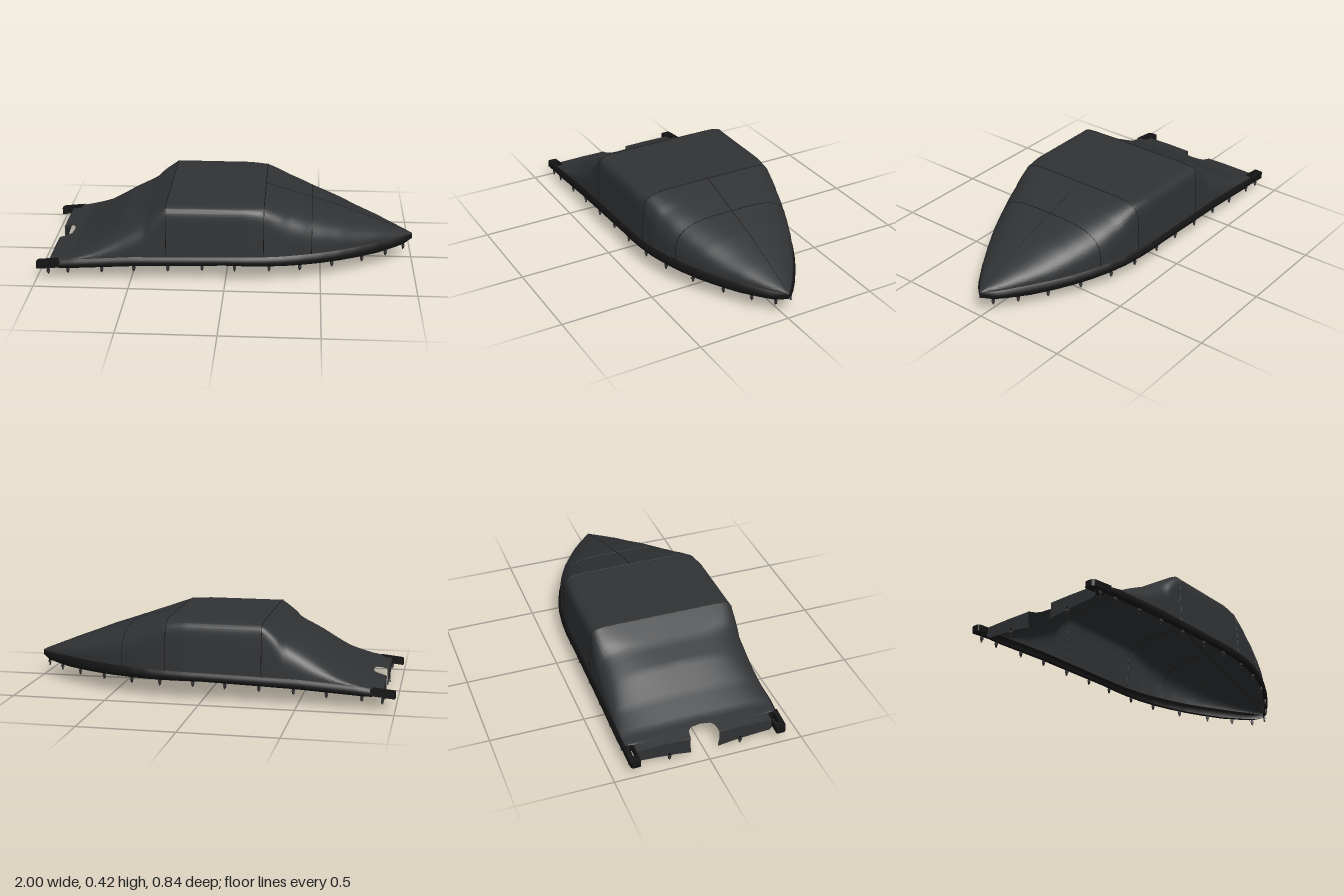
import * as THREE from 'three';
import { toCreasedNormals } from 'three/addons/utils/BufferGeometryUtils.js';

// Piecewise-linear lookup through [x, value] keys
const lerpKeys = keys => x => {
  if (x <= keys[0][0]) return keys[0][1];
  for (let i = 1; i < keys.length; i++) {
    const [x0, a] = keys[i - 1], [x1, b] = keys[i];
    if (x <= x1) return a + (b - a) * (x - x0) / (x1 - x0);
  }
  return keys[keys.length - 1][1];
};
// Half width, ridge height, band top, band bottom and section squareness along x
const halfWidth = lerpKeys([[-0.93, 0.36], [-0.885, 0.36], [-0.88, 0.402], [-0.8, 0.407], [0.1, 0.4], [0.2, 0.393],
  [0.3, 0.379], [0.4, 0.354], [0.5, 0.319], [0.6, 0.275], [0.7, 0.221], [0.8, 0.158], [0.9, 0.086], [0.96, 0.036], [1, 0]]);
const ridge = lerpKeys([[-0.93, 0.1], [-0.82, 0.125], [-0.7, 0.19], [-0.56, 0.285], [-0.45, 0.332],
  [-0.31, 0.415], [0.2, 0.415], [0.35, 0.372], [0.6, 0.295], [0.8, 0.222], [1, 0.142]]);
const bandTop = lerpKeys([[-0.93, 0.095], [-0.8, 0.115], [-0.5, 0.135], [0, 0.145], [0.4, 0.15], [0.8, 0.146], [1, 0.136]]);
const bandBottom = lerpKeys([[-1, 0.058], [-0.8, 0.068], [-0.5, 0.085], [0, 0.1], [0.4, 0.095], [0.8, 0.088], [0.95, 0.095], [1, 0.112]]);
const square = lerpKeys([[-0.93, 2.5], [-0.7, 2.6], [-0.56, 3], [-0.42, 4.5], [-0.31, 13], [0.1, 13], [0.2, 9], [0.32, 5], [0.45, 3.6], [0.7, 2.5], [1, 2.2]]);
// Engine notch half width
const notch = x => x > -0.86 ? 0 : 0.075 * Math.pow(1 - Math.pow((x + 0.93) / 0.07, 3), 1 / 3);

const stations = [-0.885, -0.88, -0.31];
for (let i = 0; i <= 10; i++) stations.push(-0.93 + 0.007 * i);
for (let x = -0.84; x < 1.001; x += 0.02) stations.push(Math.min(x, 1));
stations.sort((a, b) => a - b);

// Point on the cover: t runs 0 (ridge) to 1 (band)
function coverPoint(x, t, side) {
  const a = t * Math.PI / 2, e = 2 / square(x);
  const s = Math.pow(Math.max(0, Math.sin(a)), e), h = Math.pow(Math.max(0, t >= 1 ? 0 : Math.cos(a)), e);
  const y0 = bandTop(x), rise = (ridge(x) - y0) * h, zi = notch(x), w = halfWidth(x);
  return [x, y0 + rise, side * (zi + (w - zi) * s) * (1 - 0.1 * rise)];
}

// Hem band profile: outward offset and height fraction
const hem = [[0, 1], [0.009, 0.8], [0.014, 0.45], [0.012, 0.15], [0.004, 0], [-0.012, 0.06]];
function hemPoint(x, t, side) {
  const [o, f] = hem[Math.round(t * (hem.length - 1))];
  const w = halfWidth(x), yb = bandBottom(x);
  return [x, yb + (bandTop(x) - yb) * f, side * Math.max(0, w + o * Math.min(1, w / 0.05))];
}

// Loft both mirrored halves of a section along the stations
function loft(point, segs, crease) {
  const pos = [], idx = [], row = segs + 1;
  for (const side of [1, -1]) {
    const base = pos.length / 3;
    stations.forEach((x, i) => {
      for (let j = 0; j <= segs; j++) pos.push(...point(x, j / segs, side));
      if (!i) return;
      for (let j = 0; j < segs; j++) {
        const a = base + (i - 1) * row + j, b = a + 1, c = a + row, d = c + 1;
        if (side > 0) idx.push(a, b, c, b, d, c);
        else idx.push(a, c, b, b, c, d);
      }
    });
  }
  const g = new THREE.BufferGeometry();
  g.setAttribute('position', new THREE.Float32BufferAttribute(pos, 3));
  g.setIndex(idx);
  return toCreasedNormals(g, crease);
}

export function createModel() {
  const model = new THREE.Group();
  const fabric = new THREE.MeshStandardMaterial({ color: 0x303234, side: THREE.DoubleSide });
  const dark = new THREE.MeshStandardMaterial({ color: 0x141415, side: THREE.DoubleSide });
  const metal = new THREE.MeshStandardMaterial({ color: 0x3a3a3c });
  const add = (name, geo, mat, parent = model) => {
    const m = new THREE.Mesh(geo, mat);
    m.name = name;
    parent.add(m);
    return m;
  };

  add('cover', loft(coverPoint, 28, 0.45), fabric);
  add('hemBand', loft(hemPoint, hem.length - 1, 0.9), dark);

  // Stitched seams across the cover and along the bow
  const seam = (name, pts) => add(name, new THREE.TubeGeometry(
    new THREE.CatmullRomCurve3(pts.map(p => new THREE.Vector3(...p))), 64, 0.0018, 5), dark);
  for (const x of [-0.31, 0.2, 0.45]) {
    const pts = [];
    for (let j = -20; j <= 20; j++) pts.push(coverPoint(x, Math.abs(j) / 20, Math.sign(j) || 1));
    seam('crossSeam', pts);
  }
  seam('bowSeam', Array.from({ length: 21 }, (_, i) => coverPoint(0.2 + 0.039 * i, 0, 1)));

  // Strap with a small hook, hanging from its top at the origin
  const strap = (x, y, z, len, turn = 0) => {
    const g = new THREE.Group();
    g.name = 'strap';
    add('webbing', new THREE.BoxGeometry(0.012, len, 0.004), dark, g).position.y = -len / 2;
    add('buckle', new THREE.BoxGeometry(0.016, 0.012, 0.009), metal, g).position.y = -len * 0.55;
    const hook = add('hook', new THREE.TorusGeometry(0.005, 0.0018, 5, 10, Math.PI * 1.4), metal, g);
    hook.position.y = -len;
    hook.rotation.set(0, Math.PI / 2, Math.PI);
    g.position.set(x, y, z);
    g.rotation.y = turn;
    model.add(g);
  };

  for (const side of [1, -1]) {
    // Stern flap beside the notch
    const flap = new THREE.Shape([[0.365, 0.097], [0.2, 0.099], [0.078, 0.097], [0.08, 0.06], [0.073, 0.01],
      [0.15, 0.021], [0.25, 0.03], [0.35, 0.036], [0.365, 0.05]].map(([z, y]) => new THREE.Vector2(-side * z, y)));
    const flapGeo = new THREE.ExtrudeGeometry(flap, { depth: 0.006, bevelEnabled: false });
    flapGeo.rotateY(Math.PI / 2);
    add('sternFlap', flapGeo, fabric).position.x = -0.934;

    // Slotted corner ear
    const ear = new THREE.Shape();
    ear.moveTo(-0.99, 0.36).lineTo(-0.872, 0.36).lineTo(-0.872, 0.416).lineTo(-0.985, 0.414);
    ear.quadraticCurveTo(-0.998, 0.41, -1, 0.398).lineTo(-1, 0.37).quadraticCurveTo(-1, 0.36, -0.99, 0.36);
    ear.holes.push(new THREE.Path([[-0.955, 0.371], [-0.955, 0.388], [-0.885, 0.388], [-0.885, 0.371]]
      .map(p => new THREE.Vector2(...p))));
    const earGeo = new THREE.ExtrudeGeometry(ear, { depth: 0.034, bevelEnabled: false });
    earGeo.rotateX(Math.PI / 2);
    // Follow the sheer of the hem and mirror by flattening about the slot centre
    const p = earGeo.attributes.position;
    for (let i = 0; i < p.count; i++) p.setY(i, p.getY(i) + 0.092 + 0.1 * (p.getX(i) + 1));
    if (side < 0) {
      for (let i = 0; i < p.count; i++) p.setZ(i, -p.getZ(i));
      const a = p.array;
      for (let i = 0; i < a.length; i += 9)
        for (let k = 0; k < 3; k++) [a[i + 3 + k], a[i + 6 + k]] = [a[i + 6 + k], a[i + 3 + k]];
    }
    earGeo.computeVertexNormals();
    add('cornerEar', earGeo, dark);

    // Straps along the hem, at the corner and on the stern flap
    for (const x of [-0.83, -0.65, -0.48, -0.3, -0.12, 0.05, 0.23, 0.39, 0.56, 0.72, 0.85, 0.95])
      strap(x, bandBottom(x) + 0.008, side * halfWidth(x), 0.034,
        side * Math.atan2(halfWidth(x - 0.01) - halfWidth(x + 0.01), 0.02));
    strap(-0.935, 0.066, side * 0.402, 0.034);
    strap(-0.935, 0.04, side * 0.19, 0.035, Math.PI / 2);
  }
  return model;
}
